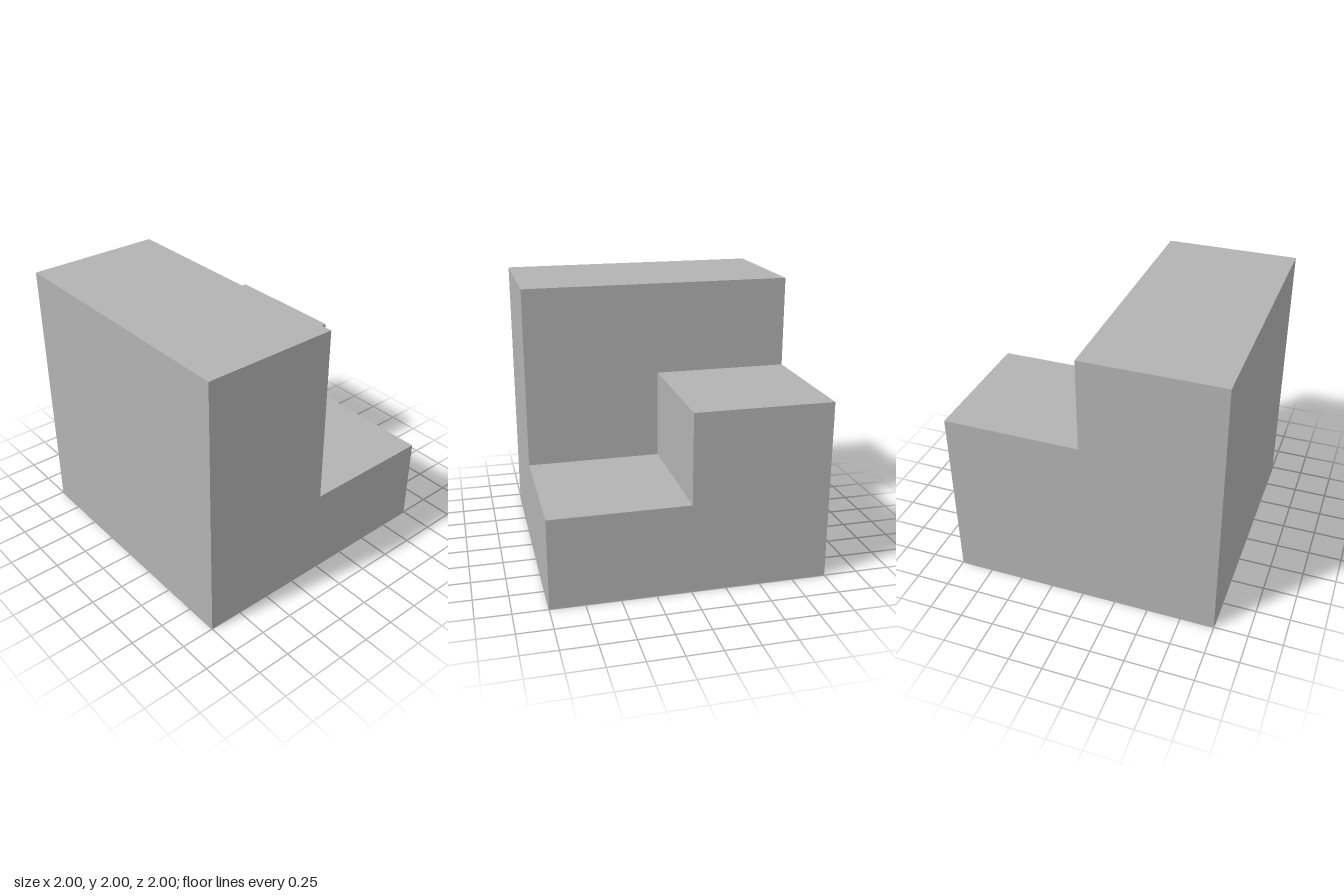
import * as THREE from 'three';

const LOW = 0.66, MID = 1.32, TOP = 2;

export function createModel() {
  const group = new THREE.Group();
  group.name = 'steppedBlock';
  const grey = new THREE.MeshStandardMaterial({ color: 0xb2b2b2 });
  grey.name = 'grey';

  // One flat face: an outline drawn in its own plane, then turned and placed
  const face = (name, points, [rx, ry], [x, y, z]) => {
    const shape = new THREE.Shape(points.map(([u, v]) => new THREE.Vector2(u, v)));
    const mesh = new THREE.Mesh(new THREE.ShapeGeometry(shape), grey);
    mesh.name = name;
    mesh.rotation.set(rx, ry, 0);
    mesh.position.set(x, y, z);
    group.add(mesh);
  };
  const rect = (u0, v0, u1, v1) => [[u0, v0], [u1, v0], [u1, v1], [u0, v1]];
  const H = Math.PI / 2;

  // Front and back walls, each an L that follows its step height
  face('frontWall', [[-1, 0], [1, 0], [1, LOW], [0, LOW], [0, TOP], [-1, TOP]], [0, 0], [0, 0, 1]);
  face('backWall', [[-1, 0], [1, 0], [1, TOP], [0, TOP], [0, MID], [-1, MID]], [0, Math.PI], [0, 0, -1]);

  // Side walls; on the +x side, the stepped outline runs from front to back
  face('steppedSide', [[-1, 0], [1, 0], [1, MID], [0, MID], [0, LOW], [-1, LOW]], [0, H], [1, 0, 0]);
  face('innerWall', [[-1, LOW], [0, LOW], [0, MID], [1, MID], [1, TOP], [-1, TOP]], [0, H], [0, 0, 0]);
  face('plainSide', rect(-1, 0, 1, TOP), [0, -H], [-1, 0, 0]);
  face('stepRiser', rect(0, LOW, 1, MID), [0, 0], [0, 0, 0]);

  // Level surfaces
  face('tallTop', rect(-1, -1, 0, 1), [-H, 0], [0, TOP, 0]);
  face('middleTop', rect(0, 0, 1, 1), [-H, 0], [0, MID, 0]);
  face('lowTop', rect(0, -1, 1, 0), [-H, 0], [0, LOW, 0]);
  face('base', rect(-1, -1, 1, 1), [H, 0], [0, 0, 0]);

  return group;
}
